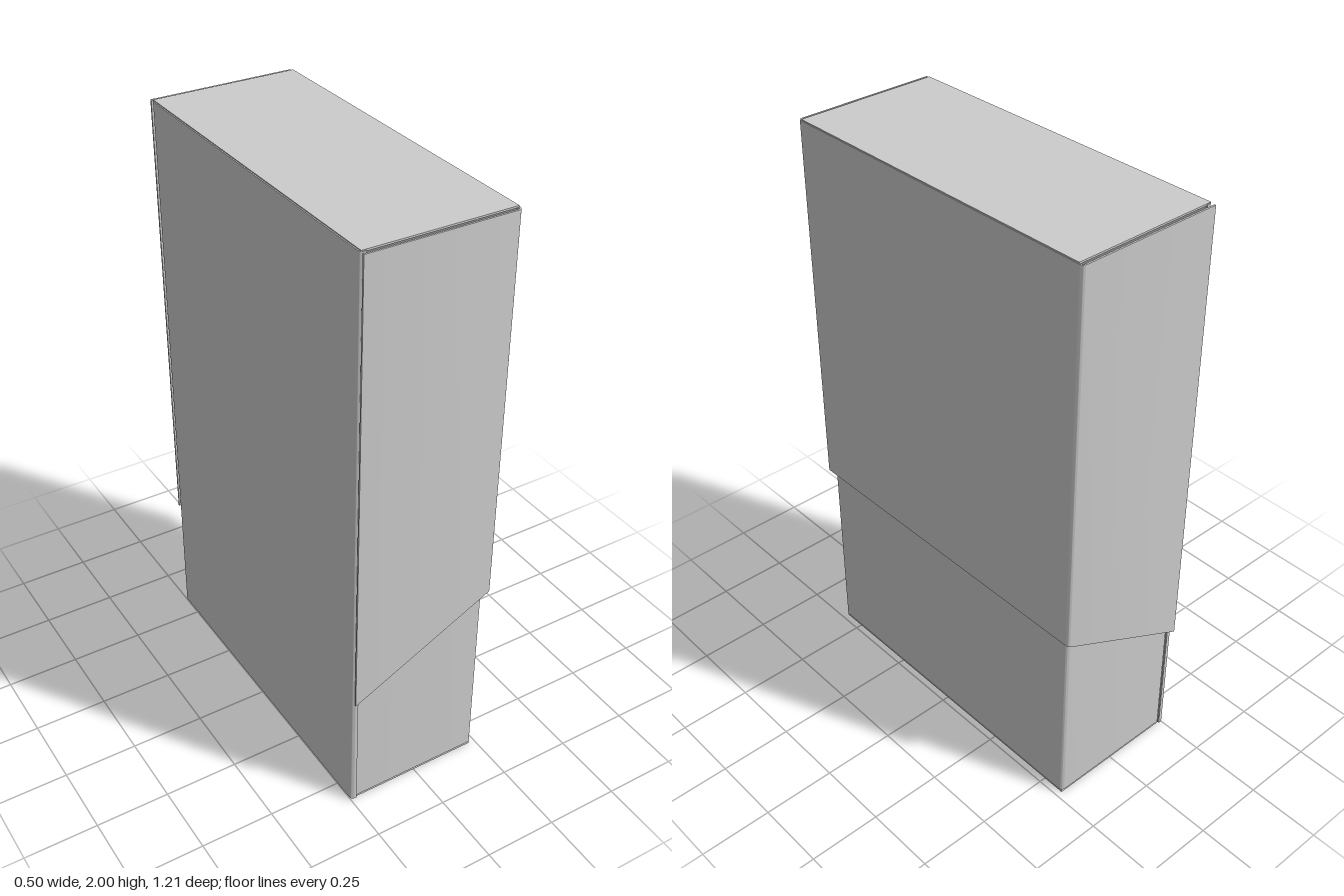
import * as THREE from 'three';
import { toCreasedNormals } from 'three/addons/utils/BufferGeometryUtils.js';

const material = new THREE.MeshStandardMaterial({ color: 0xcccccc, side: THREE.DoubleSide });
const T = 0.006; // card thickness

// Folded card with a U plan: a wall at x1 with rounded folds and two sides back to x0.
function foldedCard(x0, x1, halfZ, r, bottomAt, top) {
  const s = new THREE.Shape();
  const ri = r - T, xi = x1 - T, zi = halfZ - T;
  s.moveTo(x0, -halfZ);
  s.lineTo(x1 - r, -halfZ);
  s.absarc(x1 - r, -halfZ + r, r, -Math.PI / 2, 0, false);
  s.lineTo(x1, halfZ - r);
  s.absarc(x1 - r, halfZ - r, r, 0, Math.PI / 2, false);
  s.lineTo(x0, halfZ);
  s.lineTo(x0, zi);
  s.lineTo(xi - ri, zi);
  s.absarc(xi - ri, zi - ri, ri, Math.PI / 2, 0, true);
  s.lineTo(xi, -zi + ri);
  s.absarc(xi - ri, -zi + ri, ri, 0, -Math.PI / 2, true);
  s.lineTo(x0, -zi);
  s.closePath();
  const geo = new THREE.ExtrudeGeometry(s, { depth: 1, bevelEnabled: false, curveSegments: 6 });
  geo.rotateX(-Math.PI / 2);
  // Stretch to height, with the lower edge following bottomAt(x)
  const p = geo.attributes.position;
  for (let i = 0; i < p.count; i++) {
    const b = bottomAt(p.getX(i));
    p.setY(i, b + (top - b) * p.getY(i));
  }
  return toCreasedNormals(geo, 0.6);
}

function panel(x0, x1, y0, y1, halfZ) {
  const geo = new THREE.BoxGeometry(x1 - x0, y1 - y0, halfZ * 2);
  return geo.translate((x0 + x1) / 2, (y0 + y1) / 2, 0);
}

export function createModel() {
  const group = new THREE.Group();
  const add = (name, geo) => {
    const mesh = new THREE.Mesh(geo, material);
    mesh.name = name;
    group.add(mesh);
    return mesh;
  };

  // Large cover with slanted lower side edges
  add('lidCover', foldedCard(-0.25, 0.25, 0.604, 0.015, (x) => 0.565 + 0.5 * x, 1.996));
  add('topPanel', panel(-0.248, 0.248, 2 - T, 2, 0.588));

  // Inner tray, continuing up behind the cover
  add('innerTray', foldedCard(-0.23, 0.232, 0.584, 0.015, () => 0.012, 1.9));
  add('bottomPanel', panel(-0.242, 0.228, 0, 0.01, 0.58));

  // Full-height back panel with short folded edges
  const back = add('backPanel', foldedCard(0.232, 0.252, 0.59, 0.012, () => 0.008, 1.997));
  back.rotation.y = Math.PI;

  return group;
}
